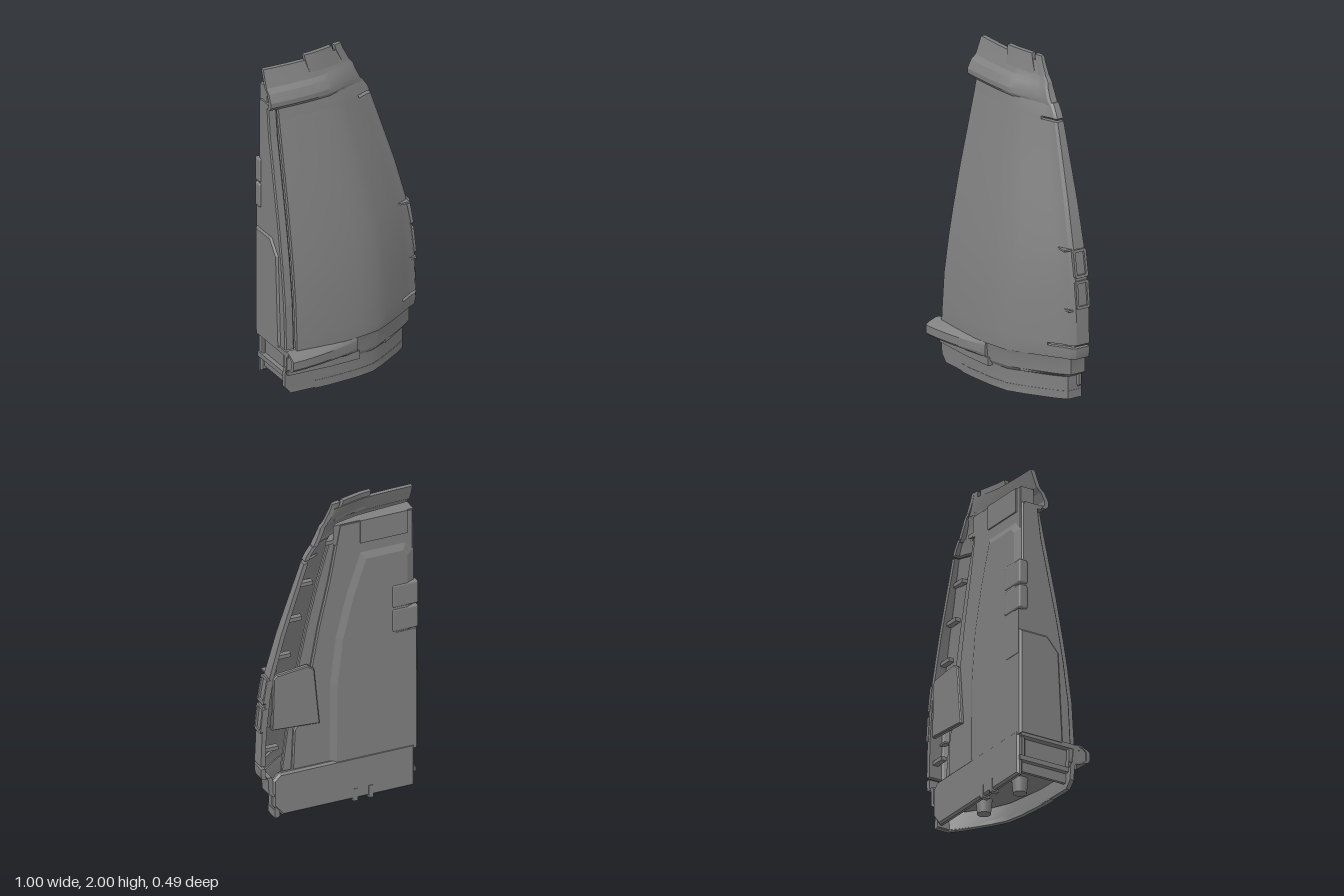
import * as THREE from 'three';
import { toCreasedNormals } from 'three/addons/utils/BufferGeometryUtils.js';
import { RoundedBoxGeometry } from 'three/addons/geometries/RoundedBoxGeometry.js';

const material = new THREE.MeshStandardMaterial({ color: 0x808080, side: THREE.DoubleSide });

// Cross-section profiles: [fraction of width, fraction of depth]
const SKIN = [[0, 1], [0.13, 0.994], [0.255, 0.976], [0.36, 0.95], [0.47, 0.915], [0.606, 0.84], [0.68, 0.745],
  [0.787, 0.585], [0.893, 0.415], [0.936, 0.34], [0.979, 0.29], [1, 0.22], [1, 0]];
const BASE = [[0, 1], [0.316, 0.976], [0.526, 0.92], [0.663, 0.84], [0.758, 0.7], [0.863, 0.52], [0.937, 0.39],
  [1, 0.25], [1, 0]];
const RIB = [[0, 1], [0.19, 0.944], [0.43, 0.8], [0.64, 0.63], [0.85, 0.43], [1, 0.28], [1, 0]];

function depthAt(profile, u) {
  const i = Math.max(1, profile.findIndex((p) => p[0] >= u));
  const [a, b] = [profile[i - 1], profile[i]];
  return a[1] + (b[1] - a[1]) * (u - a[0]) / (b[0] - a[0]);
}

// Thick curved wall through rows of [y, left x, right x, front z, back z]
function shell(rows, profile = SKIN, u0 = 0, u1 = 1) {
  const thick = 0.028;
  const prof = [[u0, depthAt(profile, u0)], ...profile.filter((p) => p[0] > u0 && (p[0] < u1 || u1 === 1))];
  if (u1 < 1) prof.push([u1, depthAt(profile, u1)]);
  const n = prof.length, m = 2 * n, pos = [], index = [];
  for (const [y, l, r, zf, zb] of rows) {
    const outer = prof.map(([u, d]) => [l + u * (r - l), zb + d * (zf - zb)]);
    const inner = outer.map(([x, z], i) => {
      const a = outer[Math.max(0, i - 1)], b = outer[Math.min(n - 1, i + 1)];
      const len = Math.hypot(b[0] - a[0], b[1] - a[1]);
      return [x + thick * (b[1] - a[1]) / len, z - thick * (b[0] - a[0]) / len];
    });
    for (const [x, z] of [...outer, ...inner.reverse()]) pos.push(x, y, Math.max(z, -0.245));
  }
  for (let j = 0; j < rows.length - 1; j++) {
    for (let i = 0; i < m; i++) {
      const a = j * m + i, b = j * m + (i + 1) % m;
      index.push(a, b, b + m, a, b + m, a + m);
    }
  }
  const top = (rows.length - 1) * m;
  for (let i = 0; i < n - 1; i++) {
    const o = i, p = i + 1, q = m - 2 - i, s = m - 1 - i;
    index.push(top + o, top + p, top + q, top + o, top + q, top + s, o, q, p, o, s, q);
  }
  const g = new THREE.BufferGeometry();
  g.setAttribute('position', new THREE.Float32BufferAttribute(pos, 3));
  g.setIndex(index);
  return toCreasedNormals(g, 0.35);
}

function extrude(points, depth, bevel, width) {
  const shape = new THREE.Shape(points.map((p) => new THREE.Vector2(p[0], p[1])));
  return new THREE.ExtrudeGeometry(shape, {
    depth: depth - 2 * bevel, bevelEnabled: bevel > 0, bevelThickness: bevel, bevelSize: width,
    bevelOffset: -width, bevelSegments: 1,
  }).translate(0, 0, bevel);
}
// Outline in x,y extruded from z0 to z1
const plate = (pts, z0, z1, bevel = 0, width = bevel) => extrude(pts, z1 - z0, bevel, width).translate(0, 0, z0);
// Outline in x,z extruded from y0 to y1
const slab = (pts, y0, y1) =>
  extrude(pts.map(([x, z]) => [x, -z]), y1 - y0, 0, 0).rotateX(-Math.PI / 2).translate(0, y0, 0);
// Outline in z,y extruded from x0 to x1
const cheek = (pts, x0, x1, bevel = 0) =>
  extrude(pts.map(([z, y]) => [-z, y]), x1 - x0, bevel, bevel).rotateY(Math.PI / 2).translate(x0, 0, 0);
const box = (x0, x1, y0, y1, z0, z1) => new THREE.BoxGeometry(x1 - x0, y1 - y0, z1 - z0)
  .translate((x0 + x1) / 2, (y0 + y1) / 2, (z0 + z1) / 2);

export function createModel() {
  const model = new THREE.Group();
  const add = (name, geometry) => {
    const mesh = new THREE.Mesh(geometry, material);
    mesh.name = name;
    model.add(mesh);
    return mesh;
  };
  const B = -0.238;

  // Curved outer skin, split by two narrow slots at the edge
  const low = [0.342, -0.44, 0.498, 0.17, B], lowTop = [0.36, -0.44, 0.498, 0.169, B];
  const high = [1.65, -0.44, 0.225, -0.05, B], highTop = [1.667, -0.44, 0.22, -0.054, B];
  add('skinFoot', shell([[0.272, -0.44, 0.49, 0.172, B], [0.3, -0.44, 0.497, 0.172, B], low]));
  add('lowerSlotBridge', shell([low, lowTop], SKIN, 0, 0.85));
  add('mainSkin', shell([lowTop, [0.58, -0.44, 0.49, 0.155, B], [0.8, -0.44, 0.467, 0.124, B],
    [0.95, -0.44, 0.44, 0.098, B], [1.2, -0.44, 0.372, 0.05, B], [1.4, -0.44, 0.307, 0.005, B], high]));
  add('upperSlotBridge', shell([high, highTop], SKIN, 0, 0.85));
  add('skinTop', shell([highTop, [1.7, -0.44, 0.205, -0.06, B], [1.75, -0.44, 0.17, -0.07, B]]));

  // Flared collar and raised tabs at the top
  add('collar', shell([[1.735, -0.5, 0.175, -0.062, -0.235], [1.755, -0.5, 0.16, -0.046, -0.235],
    [1.785, -0.5, 0.145, -0.045, -0.235], [1.835, -0.5, 0.122, -0.07, -0.232], [1.86, -0.5, 0.115, -0.1, -0.23],
    [1.9, -0.5, 0.08, -0.116, -0.228], [1.965, -0.5, 0.045, -0.14, -0.226]]));
  const tab = [[1.87, -0.5, 0.1, -0.108, -0.228], [1.965, -0.5, 0.05, -0.13, -0.226], [2, -0.5, 0.038, -0.138, -0.226]];
  add('topTab', shell(tab, SKIN, 0.5, 0.87));
  add('topTabEnd', shell(tab, SKIN, 0.91, 1));
  // Closed box behind the collar
  add('collarBox', slab([[-0.48, -0.222], [0.03, -0.222], [0, -0.195], [-0.15, -0.16], [-0.48, -0.135]], 1.72, 1.85));
  add('collarShelf', slab([[-0.49, -0.2], [0.08, -0.22], [0, -0.13], [-0.15, -0.095], [-0.49, -0.075]], 1.73, 1.755));

  // Stepped base skirt, open underneath
  add('baseSkirt', shell([[0.005, -0.46, 0.405, 0.13, -0.24], [0.05, -0.5, 0.408, 0.132, -0.24],
    [0.14, -0.5, 0.41, 0.135, -0.24], [0.165, -0.5, 0.448, 0.148, -0.24], [0.255, -0.5, 0.45, 0.155, -0.24],
    [0.278, -0.5, 0.458, 0.162, -0.24]], BASE));
  add('baseFoot', shell([[0, -0.5, 0.41, 0.132, -0.24], [0.05, -0.5, 0.41, 0.134, -0.24]], BASE, 0.22, 1));
  add('baseFloor', slab([[-0.49, -0.235], [0.37, -0.235], [0.37, -0.17], [0.29, -0.1], [0.16, 0], [0.05, 0.05],
    [-0.2, 0.095], [-0.49, 0.1]], 0.1, 0.13));
  add('baseLedge', slab([[-0.5, -0.23], [-0.44, -0.23], [-0.44, 0.168], [-0.5, 0.17]], 0.25, 0.28));
  for (const [x, z] of [[-0.25, -0.08], [0.1, -0.1]]) {
    add('floorPost', new THREE.CylinderGeometry(0.05, 0.04, 0.1, 20).translate(x, 0.06, z));
  }
  add('baseEndWall', cheek([[-0.23, 0.04], [0.1, 0.04], [0.11, 0.27], [-0.23, 0.27]], -0.46, -0.44));
  const lip = add('cornerLip', box(-0.145, 0.145, 0.15, 0.17, -0.02, 0.02));
  lip.position.set(0.3, 0, -0.06);
  lip.rotation.y = 0.67;

  // Bulging rib across the front of the base, with a thin lip below
  add('frontRib', shell([[0.16, -0.5, -0.03, 0.16, 0.1], [0.185, -0.5, -0.03, 0.228, 0.1],
    [0.2, -0.5, -0.03, 0.243, 0.1], [0.25, -0.5, -0.03, 0.243, 0.1], [0.265, -0.5, -0.03, 0.225, 0.1],
    [0.285, -0.5, -0.03, 0.175, 0.1]], RIB));
  add('frontRibEnd', cheek([[0.1, 0.165], [0.15, 0.165], [0.22, 0.19], [0.235, 0.2], [0.235, 0.25], [0.22, 0.262],
    [0.17, 0.28], [0.1, 0.28]], -0.496, -0.47));
  add('frontRibLip', slab([[-0.49, 0.1], [-0.49, 0.155], [-0.2, 0.15], [-0.01, 0.132], [-0.01, 0.1]], 0.13, 0.18));

  // Recessed strip closing the straight edge
  add('endStrip', cheek([[-0.22, 0.27], [0.12, 0.27], [0.105, 0.55], [0.07, 0.8], [0.025, 1.05], [-0.03, 1.3],
    [-0.085, 1.55], [-0.11, 1.75], [-0.22, 1.75]], -0.49, -0.43, 0.008));
  add('endStripPad', cheek([[-0.242, 0.26], [0.06, 0.26], [0.03, 0.84], [-0.05, 0.93], [-0.242, 0.93]],
    -0.502, -0.41, 0.012));

  // Back panel: lower step, main plate and bevelled raised field
  add('panelStep', plate([[-0.46, 0.1], [0.35, 0.1], [0.35, 0.3], [0.31, 0.6], [0.26, 0.9], [0.195, 1.2],
    [0.125, 1.48], [0.05, 1.74], [-0.46, 1.74]], -0.205, -0.175, 0.006));
  add('backPanel', plate([[-0.48, 0.1], [0.3, 0.1], [0.28, 0.55], [0.21, 0.65], [0.18, 0.9], [0.125, 1.2],
    [0.06, 1.48], [-0.01, 1.85], [-0.48, 1.85]], -0.224, -0.19, 0.008));
  add('raisedField', plate([[-0.48, 0.2], [0.06, 0.2], [0.055, 0.8], [0.02, 1.1], [-0.05, 1.38], [-0.14, 1.64],
    [-0.43, 1.64], [-0.48, 1.58]], -0.242, -0.2, 0.02, 0.045));
  add('panelTopBlock', box(-0.44, -0.14, 1.7, 1.85, -0.232, -0.18));
  add('backBand', plate([[-0.48, 0.01], [0.36, 0.01], [0.42, 0.08], [0.42, 0.25], [0.38, 0.29], [-0.48, 0.29]],
    -0.245, -0.205, 0.012));
  for (const x of [-0.2, -0.1]) add('backBandStud', box(x - 0.015, x + 0.015, 0, 0.08, -0.248, -0.2));

  // Ribs inside the open edge channel
  for (const [y, x] of [[0.45, 0.475], [1.05, 0.395], [1.28, 0.325], [1.5, 0.255]]) {
    add('channelRib', box(x - 0.1, x, y - 0.012, y + 0.012, -0.215, -0.18));
  }

  // Hinge plate and pads on the back
  add('hingePlate', plate([[0.125, 0.57], [0.43, 0.59], [0.42, 0.93], [0.4, 0.95], [0.2, 0.97], [0.16, 0.94]],
    -0.246, -0.215, 0.006));
  for (const y of [1.14, 1.3]) {
    add('backPad', new RoundedBoxGeometry(0.165, 0.15, 0.06, 2, 0.012).translate(-0.42, y, -0.217));
  }
  add('backPadPlate', box(-0.49, -0.36, 0.78, 1.06, -0.245, -0.19));

  // Twin side clips with small tabs above and below
  for (const [y, x, tilt] of [[0.665, 0.472, 0.1], [0.85, 0.449, 0.17]]) {
    const frame = new THREE.Shape().moveTo(-0.045, -0.075).lineTo(-0.035, -0.085).lineTo(0.035, -0.085)
      .lineTo(0.045, -0.075).lineTo(0.045, 0.075).lineTo(0.035, 0.085).lineTo(-0.035, 0.085).lineTo(-0.045, 0.075).closePath();
    frame.holes.push(new THREE.Path().moveTo(-0.03, -0.068).lineTo(-0.03, 0.068).lineTo(0.03, 0.068)
      .lineTo(0.03, -0.068).closePath());
    const g = new THREE.ExtrudeGeometry(frame, { depth: 0.022, bevelEnabled: false });
    const clip = add('sideClipFrame', g.rotateY(Math.PI / 2));
    clip.position.set(x, y, -0.196);
    clip.rotation.z = tilt;
  }
  for (const [y, x] of [[0.575, 0.45], [0.935, 0.405]]) {
    add('clipTab', box(x - 0.04, x + 0.03, y - 0.006, y + 0.006, -0.17, -0.105));
  }
  return model;
}
